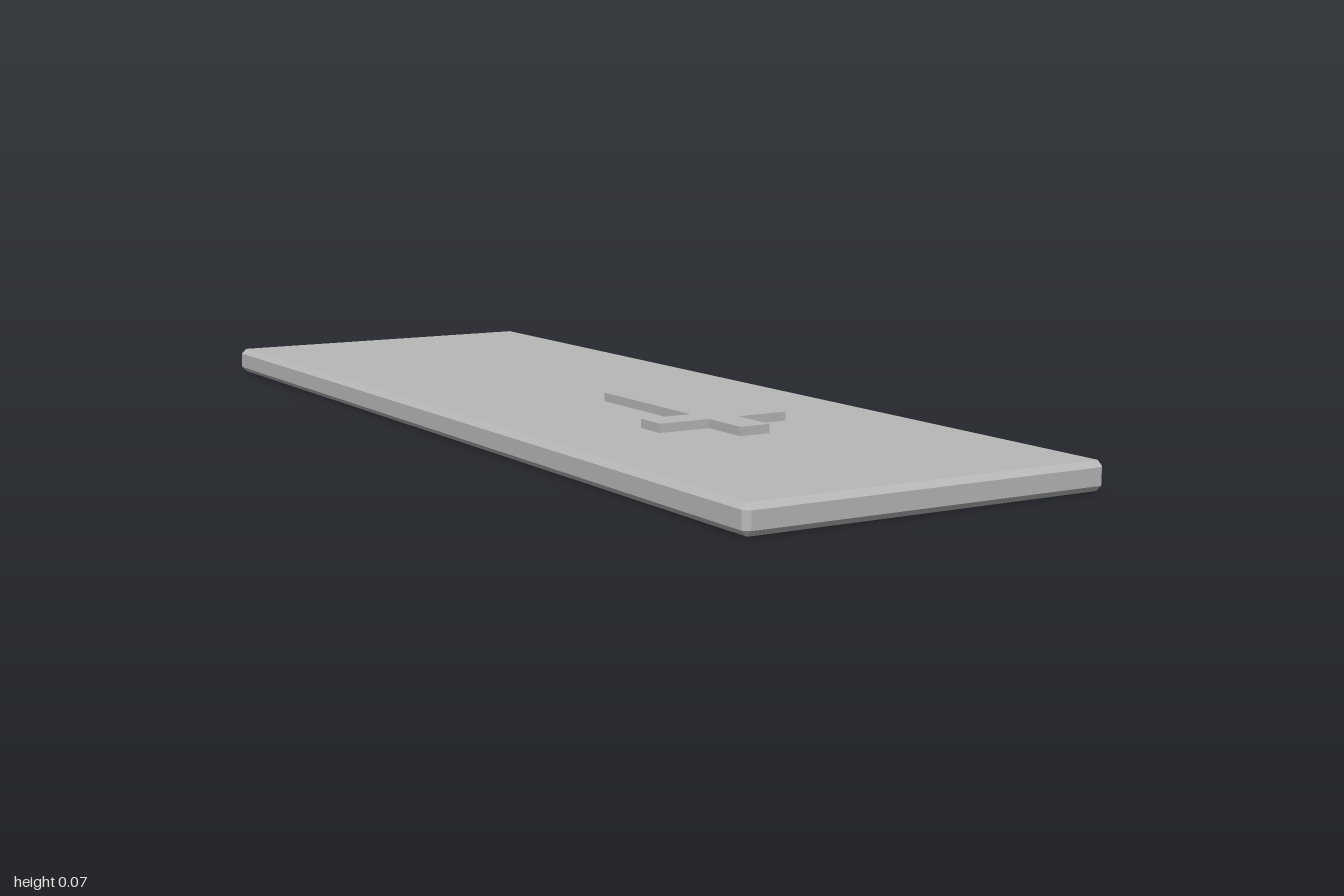
import * as THREE from 'three';
import { ConvexGeometry } from 'three/addons/geometries/ConvexGeometry.js';

// Box with every edge and corner cut by a flat chamfer, standing on y = 0
function chamferedBox(width, height, depth, cut) {
  const half = [width / 2, height / 2, depth / 2];
  const points = [];
  for (const sx of [-1, 1]) for (const sy of [-1, 1]) for (const sz of [-1, 1]) {
    const signs = [sx, sy, sz];
    // each corner becomes three points, one lying on each adjoining face
    for (let face = 0; face < 3; face++) {
      points.push(new THREE.Vector3(...signs.map((s, i) => s * (half[i] - (i === face ? 0 : cut)))));
    }
  }
  return new ConvexGeometry(points).translate(0, height / 2, 0);
}

export function createModel() {
  const group = new THREE.Group();
  group.name = 'graveSlab';
  const stone = new THREE.MeshStandardMaterial({ color: 0xb8b8b8 });
  stone.name = 'grey stone';

  // Slab
  const slab = new THREE.Mesh(chamferedBox(0.684, 0.05, 2, 0.01), stone);
  slab.name = 'slab';
  group.add(slab);

  // Raised cross, outlined in x and z
  const outline = [
    [-0.03, 0.075], [0.03, 0.075], [0.03, 0.37], [0.13, 0.37], [0.13, 0.43], [0.03, 0.43],
    [0.03, 0.525], [-0.03, 0.525], [-0.03, 0.43], [-0.13, 0.43], [-0.13, 0.37], [-0.03, 0.37],
  ];
  const shape = new THREE.Shape(outline.map(([x, z]) => new THREE.Vector2(x, z)));
  const geometry = new THREE.ExtrudeGeometry(shape, { depth: 0.016, bevelEnabled: false });
  geometry.rotateX(Math.PI / 2).translate(0, 0.066, 0);
  const cross = new THREE.Mesh(geometry, stone);
  cross.name = 'raisedCross';
  group.add(cross);

  return group;
}
